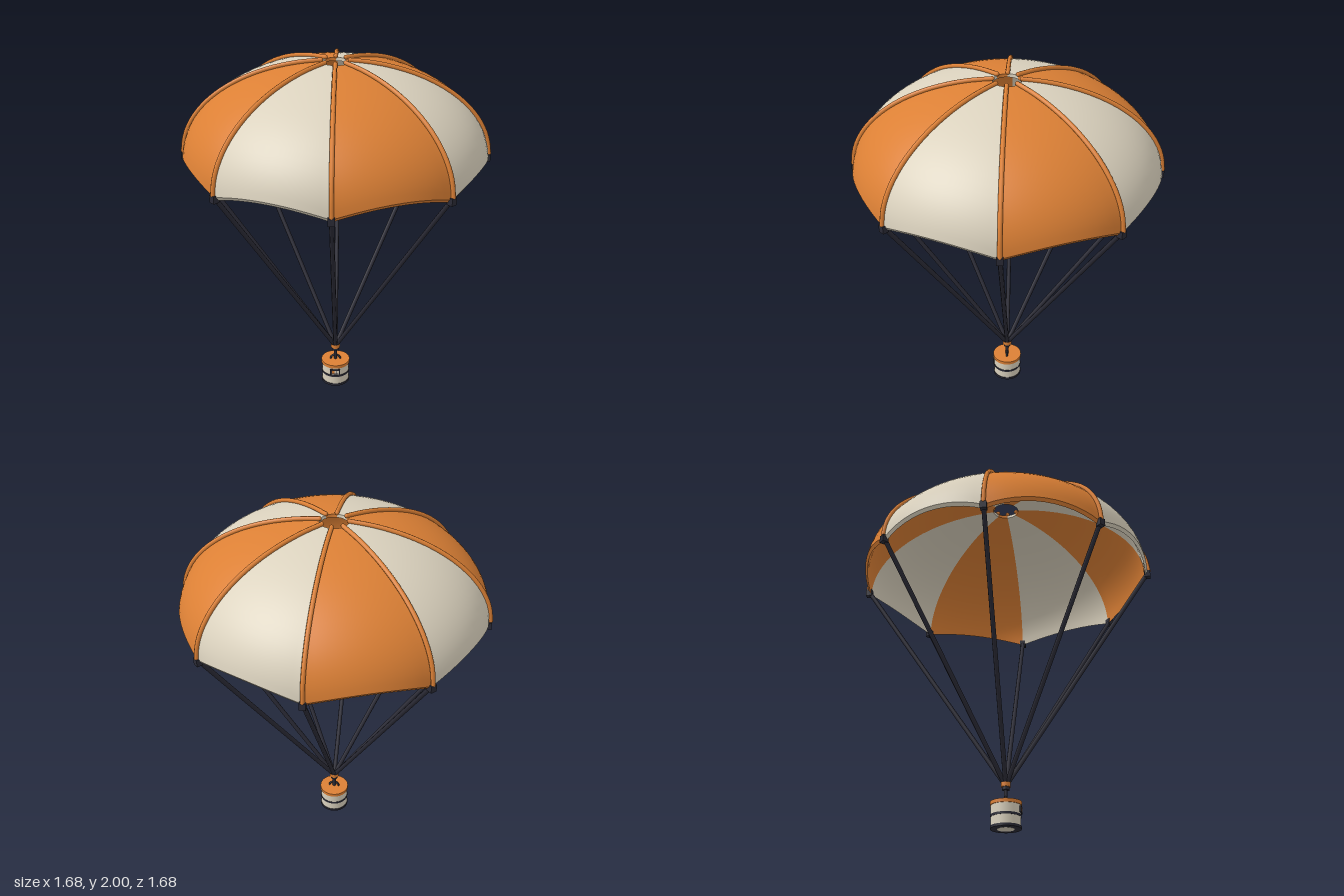
import * as THREE from 'three';

const mat = (name, color, side = THREE.FrontSide) => {
  const m = new THREE.MeshStandardMaterial({ color, side });
  m.name = name;
  return m;
};

const RADIUS = 0.82, RIM_Y = 1.46, HEIGHT = 0.52, HOLE = 0.075, SEGMENTS = 8;
const STEP = (Math.PI * 2) / SEGMENTS;

// Smooth surface over a u/v grid; flip reverses the facing
function grid(fn, nu, nv, flip = false) {
  const pos = [], index = [];
  for (let j = 0; j <= nv; j++)
    for (let i = 0; i <= nu; i++) pos.push(...fn(i / nu, j / nv));
  for (let j = 0; j < nv; j++)
    for (let i = 0; i < nu; i++) {
      const a = j * (nu + 1) + i, b = a + 1, c = a + nu + 1, d = c + 1;
      if (flip) index.push(a, c, b, b, c, d);
      else index.push(a, b, c, b, d, c);
    }
  const g = new THREE.BufferGeometry();
  g.setAttribute('position', new THREE.Float32BufferAttribute(pos, 3));
  g.setIndex(index);
  g.computeVertexNormals();
  return g;
}

export function createModel() {
  const orange = mat('orange', 0xdc8035);
  const cream = mat('cream', 0xdbd2be);
  const dark = mat('dark cord', 0x2b2b36);

  const model = new THREE.Group();
  model.name = 'parachuteDrop';
  const add = (parent, name, geometry, material, x = 0, y = 0, z = 0) => {
    const m = new THREE.Mesh(geometry, material);
    m.name = name;
    m.position.set(x, y, z);
    parent.add(m);
    return m;
  };
  const group = (name) => {
    const g = new THREE.Group();
    g.name = name;
    model.add(g);
    return g;
  };
  const cyl = (r, h, n = 40) => new THREE.CylinderGeometry(r, r, h, n);

  // Canopy: eight scalloped gores with inner lining and hem
  const canopy = group('canopy');
  const tTop = Math.acos(HOLE / RADIUS);
  const shell = (k, layer) => (u, v) => {
    const tEdge = Math.asin((0.055 * 4 * u * (1 - u)) / HEIGHT);
    const t = tTop + (tEdge - tTop) * v;
    const phi = (k + u) * STEP;
    const r = (RADIUS - 0.013 * layer) * Math.cos(t);
    return [r * Math.cos(phi), RIM_Y + HEIGHT * Math.sin(t) - 0.018 * layer, r * Math.sin(phi)];
  };
  for (let k = 0; k < SEGMENTS; k++) {
    const m = k % 2 ? orange : cream;
    add(canopy, 'gore', grid(shell(k, 0), 12, 20), m);
    add(canopy, 'goreLining', grid(shell(k, 1), 12, 20, true), m);
    add(canopy, 'goreHem', grid((u, v) => shell(k, v)(u, 1), 12, 1), m);
    add(canopy, 'ventEdge', grid((u, v) => shell(k, 1 - v)(u, 0), 12, 1), m);
  }

  // Ribs over the seams, corner fittings and suspension lines
  const ribs = group('ribs');
  const rigging = group('rigging');
  const ribPoints = [];
  for (let i = 0; i <= 10; i++) {
    const t = tTop + (0.03 - tTop) * (i / 10);
    ribPoints.push(new THREE.Vector3(0.827 * Math.cos(t), RIM_Y + 0.528 * Math.sin(t), 0));
  }
  const ribCurve = new THREE.CatmullRomCurve3(ribPoints);
  const ribGeo = new THREE.TubeGeometry(ribCurve, 32, 0.012, 8);
  const capGeo = new THREE.SphereGeometry(0.012, 8, 6);
  const fittingGeo = new THREE.BoxGeometry(0.034, 0.04, 0.034);
  const from = new THREE.Vector3(0.815, 1.455, 0), to = new THREE.Vector3(0.008, 0.245, 0);
  const dir = from.clone().sub(to);
  const lineGeo = cyl(0.0125, dir.length(), 8);
  for (let k = 0; k < SEGMENTS; k++) {
    const rib = new THREE.Group();
    rib.name = 'rib';
    rib.rotation.y = k * STEP;
    ribs.add(rib);
    add(rib, 'ribTube', ribGeo, orange);
    for (const p of [ribPoints[0], ribPoints[10]]) add(rib, 'ribEnd', capGeo, orange, p.x, p.y, p.z);

    const cord = new THREE.Group();
    cord.name = 'suspensionLine';
    cord.rotation.y = k * STEP;
    rigging.add(cord);
    add(cord, 'cornerFitting', fittingGeo, dark, 0.818, 1.453, 0);
    const line = add(cord, 'line', lineGeo, dark);
    line.position.copy(from).add(to).multiplyScalar(0.5);
    line.quaternion.setFromUnitVectors(new THREE.Vector3(0, 1, 0), dir.clone().normalize());
  }

  // Gathering collar and stem
  add(rigging, 'collar', cyl(0.026, 0.024, 20), orange, 0, 0.239, 0);
  add(rigging, 'collarBase', cyl(0.02, 0.018, 20), dark, 0, 0.219, 0);
  add(rigging, 'stem', cyl(0.01, 0.09, 12), dark, 0, 0.18, 0);

  // Cargo canister
  const cargo = group('cargoCanister');
  add(cargo, 'body', cyl(0.08, 0.118), cream, 0, 0.069, 0);
  add(cargo, 'lid', cyl(0.084, 0.02), orange, 0, 0.135, 0);
  add(cargo, 'middleBand', cyl(0.082, 0.013), dark, 0, 0.069, 0);
  add(cargo, 'baseBand', cyl(0.083, 0.014), dark, 0, 0.008, 0);
  add(cargo, 'basePlate', cyl(0.046, 0.004), cream, 0, 0.002, 0);
  add(cargo, 'handle', new THREE.TorusGeometry(0.028, 0.006, 8, 16, Math.PI), dark, 0, 0.143, 0);

  // Front panel with small coloured tiles
  add(cargo, 'panel', new THREE.BoxGeometry(0.06, 0.034, 0.009), dark, 0, 0.1, 0.08);
  [[-0.011, 0.013, orange], [0.003, 0.011, cream], [0.017, 0.012, cream]].forEach(([x, w, m]) =>
    add(cargo, 'panelTile', new THREE.BoxGeometry(w, 0.02, 0.003), m, x, 0.1, 0.0845));

  return model;
}
